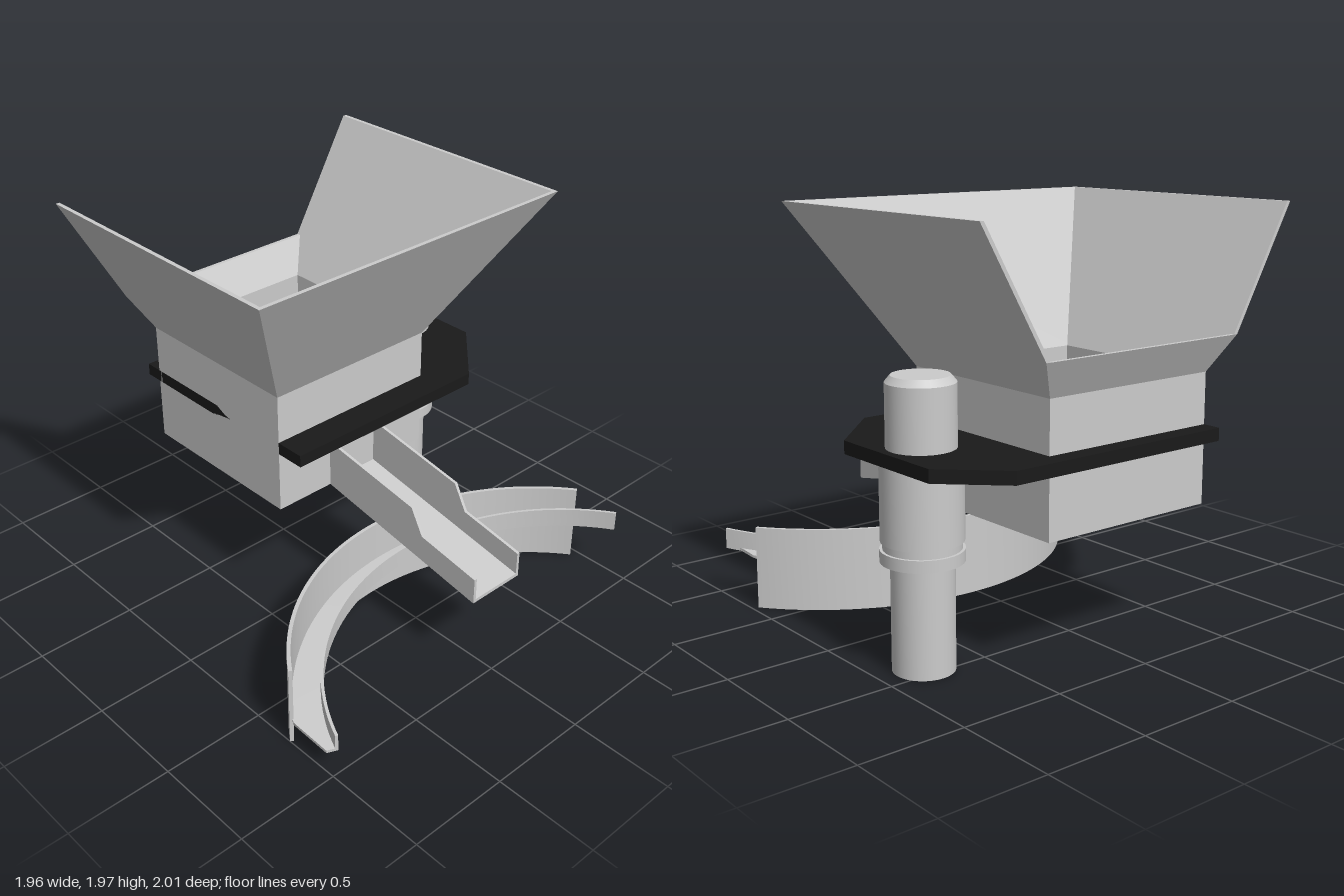
import * as THREE from 'three';
import { ConvexGeometry } from 'three/addons/geometries/ConvexGeometry.js';

const grey = new THREE.MeshStandardMaterial({ color: 0xcccccc, side: THREE.DoubleSide });
const black = new THREE.MeshStandardMaterial({ color: 0x1a1a1a });

function add(group, name, geometry, material = grey) {
  const mesh = new THREE.Mesh(geometry, material);
  mesh.name = name;
  group.add(mesh);
  return mesh;
}

// Flat panel: outline points plus the same outline shifted by the wall thickness
function panel(points, dx, dy, dz) {
  const outer = points.map((p) => new THREE.Vector3(...p));
  const shift = new THREE.Vector3(dx, dy, dz);
  return new ConvexGeometry([...outer, ...outer.map((p) => p.clone().add(shift))]);
}

// Outline extruded to a thickness, sideways along z
function sidePlate(points, thickness) {
  const shape = new THREE.Shape(points.map(([x, y]) => new THREE.Vector2(x, y)));
  return new THREE.ExtrudeGeometry(shape, { depth: thickness, bevelEnabled: false });
}

// Curved bar around a vertical axis at x = CX; section(a) gives [r0, r1, y0, y1]
const CX = 1.4;
function arcBar(a0, a1, section, steps = 56) {
  const pos = [], index = [];
  const rings = [];
  for (let i = 0; i <= steps; i++) {
    const a = a0 + ((a1 - a0) * i) / steps;
    const [r0, r1, y0, y1] = section(a);
    rings.push([[r0, y0], [r1, y0], [r1, y1], [r0, y1]]
      .map(([r, y]) => [CX - r * Math.cos(a), y, r * Math.sin(a)]));
  }
  for (let s = 0; s < 4; s++) {
    const base = pos.length / 3;
    rings.forEach((ring) => pos.push(...ring[s], ...ring[(s + 1) % 4]));
    for (let i = 0; i < steps; i++) {
      const k = base + i * 2;
      index.push(k, k + 2, k + 1, k + 1, k + 2, k + 3);
    }
  }
  // End caps
  for (const ring of [rings[0], [...rings[steps]].reverse()]) {
    const k = pos.length / 3;
    pos.push(...ring.flat());
    index.push(k, k + 1, k + 2, k, k + 2, k + 3);
  }
  const geometry = new THREE.BufferGeometry();
  geometry.setAttribute('position', new THREE.Float32BufferAttribute(pos, 3));
  geometry.setIndex(index);
  geometry.computeVertexNormals();
  return geometry;
}

function buildHopper() {
  const g = new THREE.Group();
  g.name = 'hopper';
  const t = 0.02, bottom = 0.62, neck = 1.23, notch = 1.4, top = 1.97;
  // Outer limits of the hopper at a height
  const at = (y) => {
    const k = Math.max(0, (y - neck) / (top - neck));
    const m = Math.min(1, Math.max(0, (y - neck) / (notch - neck)));
    return { x0: -0.89 - 0.09 * m, x1: 0.03 + 0.42 * k, z0: -0.47 - 0.43 * k, z1: 0.45 + 0.42 * k };
  };
  const b = at(bottom), n = at(neck), c = at(notch), u = at(top);
  // Front and back walls
  for (const [side, zk, s] of [['front', 'z1', -t], ['back', 'z0', t]]) {
    add(g, side + 'BinWall', panel([[b.x0, bottom, b[zk]], [b.x1, bottom, b[zk]],
      [n.x1, neck, n[zk]], [n.x0, neck, n[zk]]], 0, 0, s));
    add(g, side + 'FunnelWall', panel([[n.x0, neck, n[zk]], [n.x1, neck, n[zk]],
      [u.x1, top, u[zk]], [u.x0, top, u[zk]], [c.x0, notch, c[zk]]], 0, 0, s));
  }
  // Side walls; the right one stops low and leaves the funnel open for loading
  for (const [side, xk, s, rim, y] of [['left', 'x1', -t, u, top], ['right', 'x0', t, c, notch]]) {
    add(g, side + 'BinWall', panel([[b[xk], bottom, b.z0], [b[xk], bottom, b.z1],
      [n[xk], neck, n.z1], [n[xk], neck, n.z0]], s, 0, 0));
    add(g, side + 'FunnelWall', panel([[n[xk], neck, n.z0], [n[xk], neck, n.z1],
      [rim[xk], y, rim.z1], [rim[xk], y, rim.z0]], s, 0, 0));
  }
  add(g, 'binFloor', panel([[b.x0, bottom, b.z0], [b.x1, bottom, b.z0],
    [b.x1, bottom, b.z1], [b.x0, bottom, b.z1]], 0, t, 0));
  return g;
}

function buildMountPlate(group) {
  // Plan outline as (x, -z), with a rectangular hole for the bin
  const v = (p) => new THREE.Vector2(...p);
  const shape = new THREE.Shape([[-0.98, -0.45], [0.18, -0.45], [0.18, 0.66],
    [-0.13, 0.97], [-0.74, 0.97], [-0.98, 0.72]].map(v));
  shape.holes.push(new THREE.Path([[-0.88, -0.44], [-0.88, 0.46], [0.02, 0.46], [0.02, -0.44]].map(v)));
  const geo = new THREE.ExtrudeGeometry(shape, { depth: 0.06, bevelEnabled: false });
  geo.rotateX(-Math.PI / 2);
  add(group, 'mountPlate', geo, black).position.y = 0.93;
}

function buildMotor() {
  const g = new THREE.Group();
  g.name = 'motor';
  const cylinder = (name, r0, r1, y0, y1) => {
    add(g, name, new THREE.CylinderGeometry(r1, r0, y1 - y0, 40)).position.y = (y0 + y1) / 2;
  };
  cylinder('post', 0.14, 0.14, 0, 0.52);
  cylinder('lowerCollar', 0.185, 0.185, 0.495, 0.55);
  cylinder('collarGroove', 0.172, 0.172, 0.55, 0.585);
  cylinder('body', 0.182, 0.182, 0.585, 0.935);
  cylinder('upperBody', 0.153, 0.153, 0.935, 1.27);
  cylinder('capBevel', 0.153, 0.128, 1.27, 1.3);
  g.position.set(-0.43, 0, -0.78);
  return g;
}

function buildChute() {
  const g = new THREE.Group();
  g.name = 'chute';
  const side = [[0.03, 0.62], [0.98, 0.45], [0.98, 0.58], [0.65, 0.64], [0.58, 0.765], [0.03, 0.86]];
  add(g, 'chuteFrontWall', sidePlate(side, 0.015)).position.z = 0.12;
  add(g, 'chuteBackWall', sidePlate(side, 0.015)).position.z = -0.165;
  const floor = [[0.03, 0.62], [0.98, 0.45], [0.98, 0.467], [0.03, 0.637]];
  add(g, 'chuteFloor', sidePlate(floor, 0.27)).position.z = -0.15;
  return g;
}

function buildSpiralTrack() {
  const g = new THREE.Group();
  g.name = 'spiralTrack';
  const R = 1.21, t = 0.018, start = 1.154, end = -1.112;
  // Track climbs and narrows from front to back
  const climb = (a) => (start - a) / (start - end);
  const lipR = (a) => 1.04 + 0.075 * climb(a);
  const base = (a) => 0.105 + 0.15 * climb(a);
  add(g, 'bowlWall', arcBar(-Math.asin(0.97 / R), Math.asin(1 / R), () => [R - t, R, 0, 0.405]));
  add(g, 'trackFloor', arcBar(end, start, (a) => {
    const limit = (a > 0 ? 1 : 0.97) / Math.max(0.01, Math.abs(Math.sin(a)));
    const r0 = lipR(a);
    return [r0, Math.max(r0 + 0.005, Math.min(R - t / 2, limit)), base(a), base(a) + 0.014];
  }));
  add(g, 'trackLip', arcBar(end, start, (a) =>
    [lipR(a), lipR(a) + 0.014, base(a), base(a) + 0.086 + 0.014 * climb(a)]));
  return g;
}

export function createModel() {
  const model = new THREE.Group();
  model.name = 'feeder';
  model.add(buildHopper());
  buildMountPlate(model);
  model.add(buildMotor(), buildChute(), buildSpiralTrack());
  return model;
}
